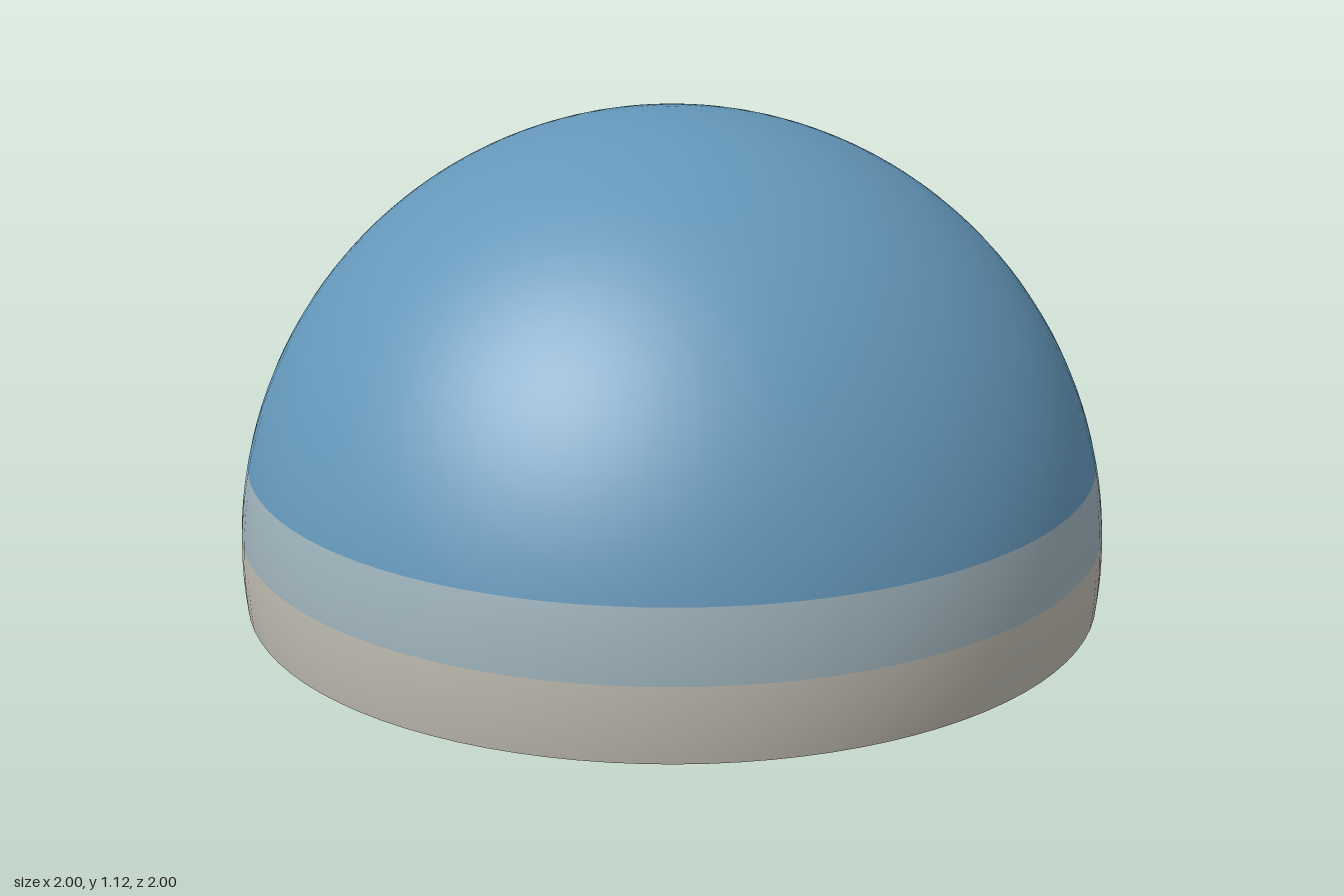
import * as THREE from 'three';

const mat = (name, color, flat = false) => {
  const m = new THREE.MeshStandardMaterial({ color, side: THREE.DoubleSide, flatShading: flat });
  m.name = name;
  return m;
};

export function createModel() {
  const model = new THREE.Group();
  model.name = 'skyDomeDiorama';
  const sky = mat('skyBlue', 0x6497ba);
  const haze = mat('hazeGreyBlue', 0x9db1ba);
  const horizon = mat('horizonStone', 0xbcb9ae);
  const farGrey = mat('farMountainGrey', 0x7d8a96);
  const nearGrey = mat('nearMountainGrey', 0x92a4b2);
  const grass = mat('grassGreen', 0x7e9c5a);
  const soil = mat('soilOlive', 0x77745a, true);
  const rock = mat('rockTan', 0xb5ac98, true);
  const water = mat('waterBlue', 0x4a78a0);
  const white = mat('cloudWhite', 0xe8e6e0);

  const add = (name, geo, material, x = 0, y = 0, z = 0, parent = model) => {
    const mesh = new THREE.Mesh(geo, material);
    mesh.name = name;
    mesh.position.set(x, y, z);
    parent.add(mesh);
    return mesh;
  };

  // Dome shell: three bands of one sphere, cut off at the ground
  const centreY = 0.12;
  const band = (name, material, top, bottom, rows) => {
    const a = Math.acos(Math.min(1, top - centreY));
    const b = Math.acos(bottom - centreY);
    add(name, new THREE.SphereGeometry(1, 96, rows, 0, Math.PI * 2, a, b - a), material, 0, centreY, 0);
  };
  band('skyDome', sky, 1.12, 0.33, 32);
  band('hazeBand', haze, 0.33, 0.17, 4);
  band('horizonBand', horizon, 0.17, 0, 4);

  // Mountain rings: annuli lifted into ridges between flat edges
  const mountainRing = (name, material, inner, outer, base, height, phase) => {
    const geo = new THREE.RingGeometry(inner, outer, 160, 8);
    geo.rotateX(-Math.PI / 2);
    const p = geo.attributes.position;
    for (let i = 0; i < p.count; i++) {
      const x = p.getX(i), z = p.getZ(i);
      const t = (Math.hypot(x, z) - inner) / (outer - inner);
      const a = Math.atan2(z, x);
      const ridge = 0.65 + 0.2 * Math.sin(a * 13 + phase) + 0.15 * Math.sin(a * 31 + phase * 2 + t * 2);
      p.setY(i, base + height * ridge * Math.max(0, Math.sin(Math.PI * t)));
    }
    geo.computeVertexNormals();
    add(name, geo, material);
  };
  mountainRing('farMountains', farGrey, 0.58, 0.77, 0.1, 0.12, 0.4);
  mountainRing('nearMountains', nearGrey, 0.39, 0.57, 0.1, 0.09, 2.1);

  // Rolling ground that steps up to a terrace at the back
  const groundY = (x, z) => 0.067 - 0.03 * z - 0.012 * x
    + 0.045 * THREE.MathUtils.smoothstep(-z, 0.24, 0.29)
    + 0.005 * Math.sin(x * 13) * Math.cos(z * 11);
  const patch = (name, material, w, d, cx, cz, height, turn = 0) => {
    const geo = new THREE.PlaneGeometry(w, d, 24, 24);
    geo.rotateX(-Math.PI / 2).rotateY(turn).translate(cx, 0, cz);
    const p = geo.attributes.position;
    for (let i = 0; i < p.count; i++) p.setY(i, height(p.getX(i), p.getZ(i)));
    geo.computeVertexNormals();
    add(name, geo, material);
  };
  patch('meadow', grass, 0.77, 0.77, 0, 0, groundY);
  const fieldY = (x, z) => 0.088 + 0.008 * Math.sin(x * 14 + z * 9);
  patch('leftField', soil, 0.26, 0.33, 0.58, -0.27, fieldY, 0.1);
  patch('rightField', soil, 0.24, 0.3, -0.52, -0.39, fieldY, -0.15);

  // Rocky outcrops running from side to side
  const outcrop = (name, z0, x0, x1, y, count, size) => {
    const g = new THREE.Group();
    g.name = name;
    for (let i = 0; i < count; i++) {
      const x = x0 + (x1 - x0) * i / (count - 1);
      const z = z0 + 0.012 * Math.sin(i * 2.3);
      const r = add('rock', new THREE.DodecahedronGeometry(size), rock, x, y, z, g);
      r.scale.set(1.15 + 0.2 * Math.sin(i * 1.7), 1.1, 0.75);
      r.rotation.y = Math.sin(i * 3.1) * 0.4;
    }
    model.add(g);
  };
  outcrop('cliff', -0.25, -0.26, 0.29, 0.09, 13, 0.034);
  outcrop('backRocks', -0.48, -0.1, 0.23, 0.105, 10, 0.018);

  // Pond with a stone rim and islet
  const px = 0.02, pz = -0.03, py = groundY(px, pz) - 0.006;
  add('pond', new THREE.CylinderGeometry(0.05, 0.05, 0.008, 24), water, px, py, pz);
  const rim = add('pondRim', new THREE.TorusGeometry(0.05, 0.007, 6, 24), soil, px, py, pz);
  rim.rotation.x = Math.PI / 2;
  add('islet', new THREE.CylinderGeometry(0.022, 0.022, 0.018, 10), rock, px, py, pz);

  // Cloud puffs under the dome
  const cloud = new THREE.Group();
  cloud.name = 'cloud';
  for (const [dx, dy, r] of [[-0.045, 0, 0.028], [0, 0.012, 0.04], [0.045, 0, 0.03]]) {
    add('cloudPuff', new THREE.SphereGeometry(r, 16, 12), white, dx, dy, 0, cloud).scale.y = 0.6;
  }
  cloud.position.set(-0.506, 0.55, -0.26);
  cloud.rotation.y = -Math.PI / 4;
  model.add(cloud);

  return model;
}
